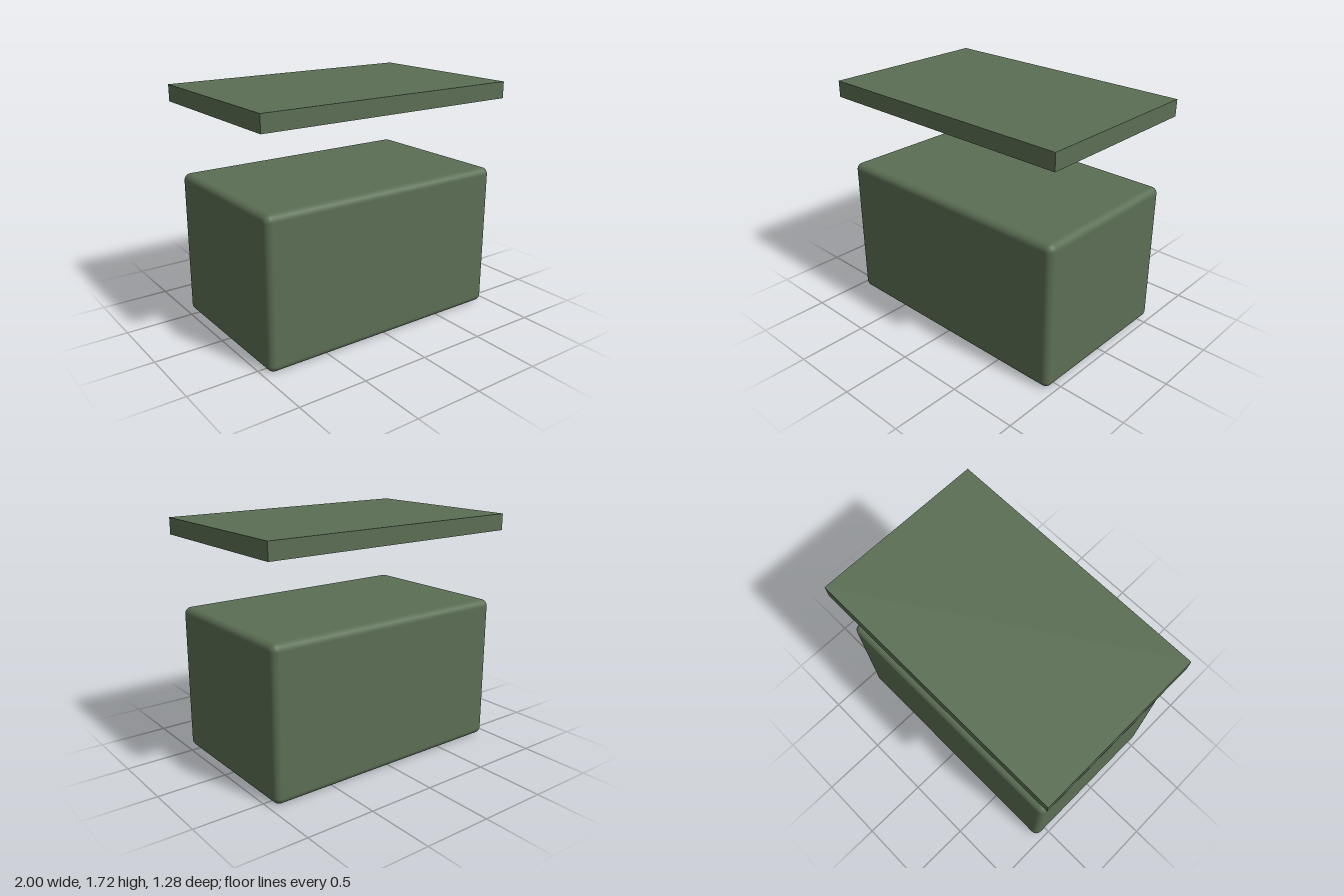
import * as THREE from 'three';
import { RoundedBoxGeometry } from 'three/addons/geometries/RoundedBoxGeometry.js';

export function createModel() {
  const group = new THREE.Group();
  group.name = 'chest';
  const green = new THREE.MeshStandardMaterial({ color: 0x5b6e54 });

  const addPart = (name, geometry, y) => {
    const mesh = new THREE.Mesh(geometry, green);
    mesh.name = name;
    mesh.position.y = y;
    group.add(mesh);
  };

  // Rounded body standing on the ground
  addPart('body', new RoundedBoxGeometry(1.92, 1.08, 1.2, 4, 0.05), 0.54);

  // Flat, sharp-edged lid floating above the body
  addPart('lid', new THREE.BoxGeometry(2, 0.12, 1.28), 1.66);

  return group;
}
